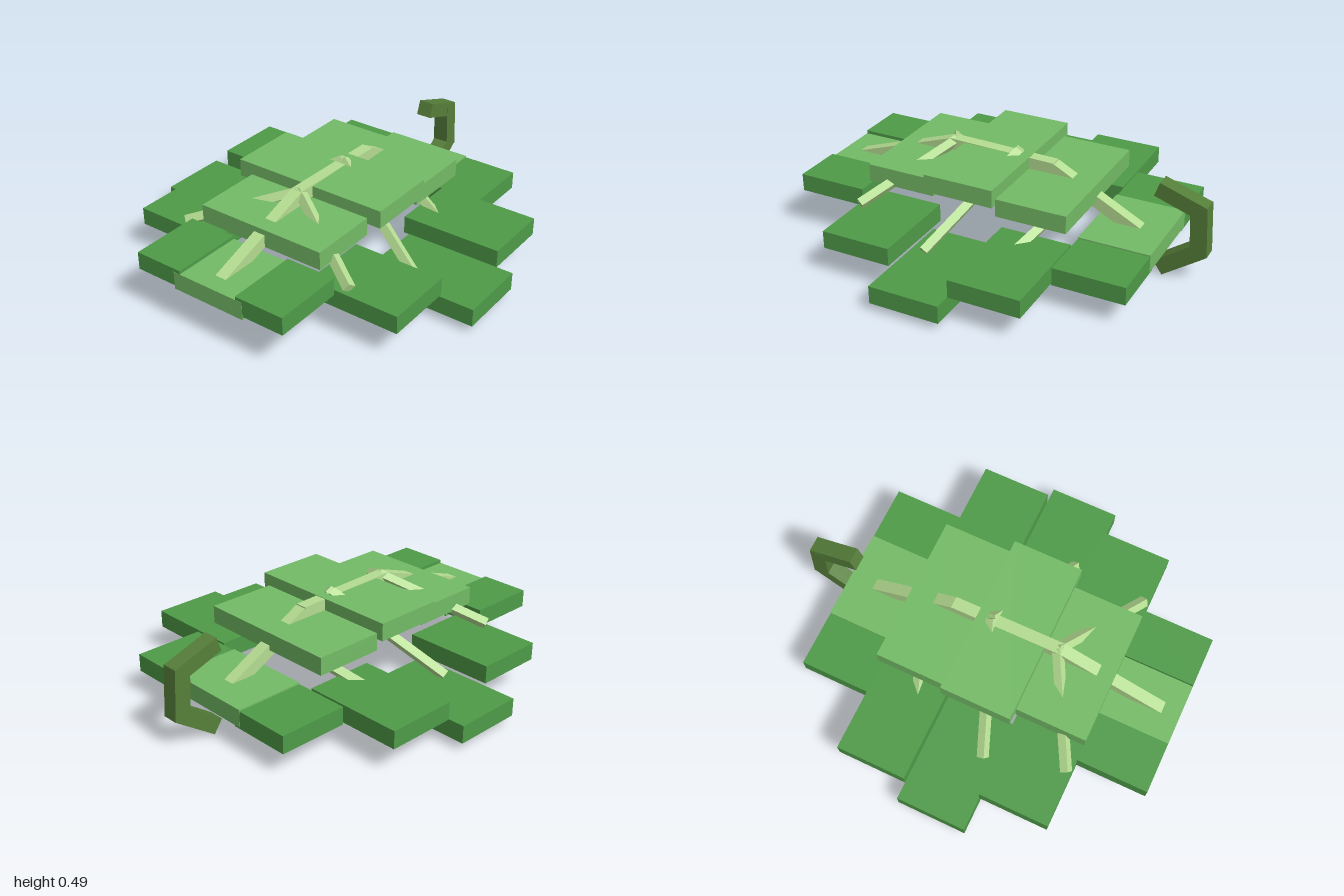
import * as THREE from 'three';

const mat = (color) => new THREE.MeshStandardMaterial({ color, flatShading: true });

export function createModel() {
  const model = new THREE.Group();
  const light = mat(0x74bb66), dark = mat(0x4e9b48), vein = mat(0xb5dd92), stemMat = mat(0x567f3a);

  // axis-aligned block from its limits
  function block(name, x0, x1, y0, y1, z0, z1, material) {
    const m = new THREE.Mesh(new THREE.BoxGeometry(x1 - x0, y1 - y0, z1 - z0), material);
    m.position.set((x0 + x1) / 2, (y0 + y1) / 2, (z0 + z1) / 2);
    m.name = name;
    model.add(m);
  }

  // square bar between two points, rolled about its own length
  function bar(name, a, b, w, h, material, roll = 0) {
    const p = new THREE.Vector3(...a), q = new THREE.Vector3(...b);
    const m = new THREE.Mesh(new THREE.BoxGeometry(w, h, p.distanceTo(q)), material);
    m.position.copy(p).add(q).multiplyScalar(0.5);
    m.lookAt(q);
    m.rotateZ(roll);
    m.name = name;
    model.add(m);
  }

  // leaf rows, front to back: z range, centre half width and base, side x range and base
  const rows = [
    [0.64, 1.0, 0.197, 0.19, 0.16, 0.417, 0.207],
    [0.285, 0.643, 0.342, 0.31, 0.28, 0.75, 0.145],
    [-0.072, 0.287, 0.415, 0.37, 0.345, 0.917, 0.042],
    [-0.43, -0.07, 0.38, 0.31, 0.315, 0.832, 0.13],
    [-0.787, -0.428, 0.235, 0.127, 0.2, 0.522, 0.12],
  ];
  const t = 0.09;
  for (const [z0, z1, half, yc, xi, xo, ys] of rows) {
    block('leafCentre', -half, half, yc, yc + t, z0, z1, light);
    block('leafSideLeft', xi, xo, ys, ys + t, z0 + 0.001, z1 - 0.001, dark);
    block('leafSideRight', -xo, -xi, ys, ys + t, z0 + 0.001, z1 - 0.001, dark);
  }

  // midrib in three straight lengths
  bar('midribFront', [0, 0.235, 0.95], [0, 0.44, 0.355], 0.06, 0.06, vein);
  bar('midribMiddle', [0, 0.438, 0.37], [0, 0.425, -0.2], 0.06, 0.06, vein);
  bar('midribBack', [0, 0.425, -0.19], [0, 0.145, -0.73], 0.06, 0.06, vein);

  // mirrored side veins
  const veins = [
    [[0, 0.45, 0.345], [0.48, 0.255, 0.615]],
    [[0, 0.465, 0], [0.56, 0.14, 0.215]],
    [[0, 0.35, -0.35], [0.7, 0.09, -0.11]],
  ];
  for (const [a, b] of veins) {
    bar('sideVeinLeft', a, b, 0.042, 0.042, vein, -0.6);
    bar('sideVeinRight', a, [-b[0], b[1], b[2]], 0.042, 0.042, vein, 0.6);
  }

  // hooked stem
  bar('stemLower', [0, 0.037, -0.757], [0, 0.18, -0.96], 0.08, 0.08, stemMat);
  bar('stemMiddle', [0, 0.15, -0.95], [0, 0.405, -0.935], 0.082, 0.082, stemMat);
  bar('stemTop', [0, 0.372, -0.96], [0, 0.45, -0.73], 0.08, 0.076, stemMat);

  return model;
}
